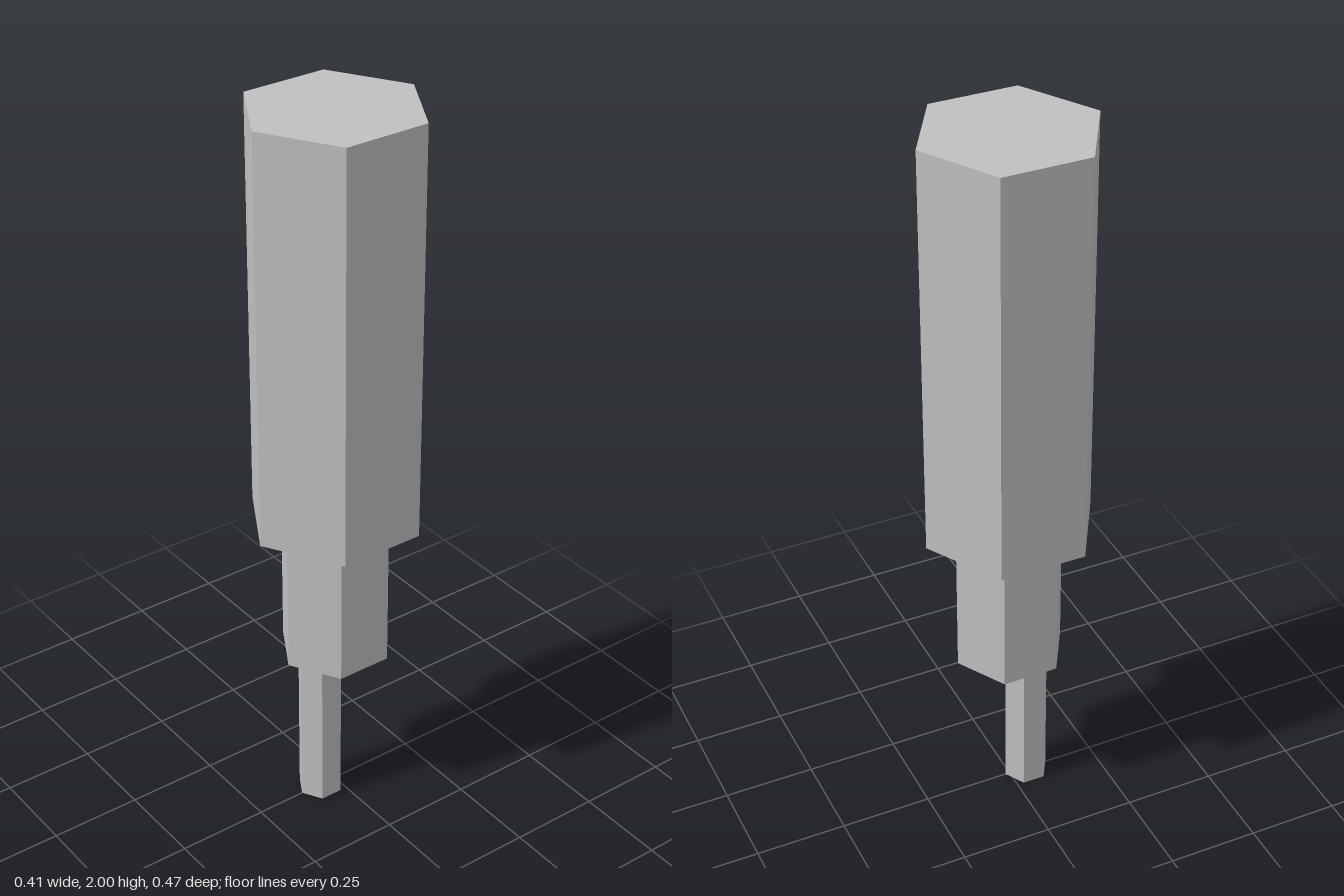
import * as THREE from 'three';

export function createModel() {
  const group = new THREE.Group();
  const grey = new THREE.MeshStandardMaterial({ color: 0xc0c0c0, flatShading: true });
  grey.name = 'grey';

  // Upright hexagonal bar with corners pointing to front and back
  function hexBar(name, radius, bottom, top, z = 0) {
    const geometry = new THREE.CylinderGeometry(radius, radius, top - bottom, 6);
    const mesh = new THREE.Mesh(geometry, grey);
    mesh.name = name;
    mesh.position.set(0, (bottom + top) / 2, z);
    group.add(mesh);
  }

  hexBar('handle', 0.235, 0.868, 2);
  hexBar('collar', 0.152, 0.456, 0.868);
  // The tip sits forward of the centre line
  hexBar('tip', 0.062, 0, 0.456, 0.05);

  return group;
}
